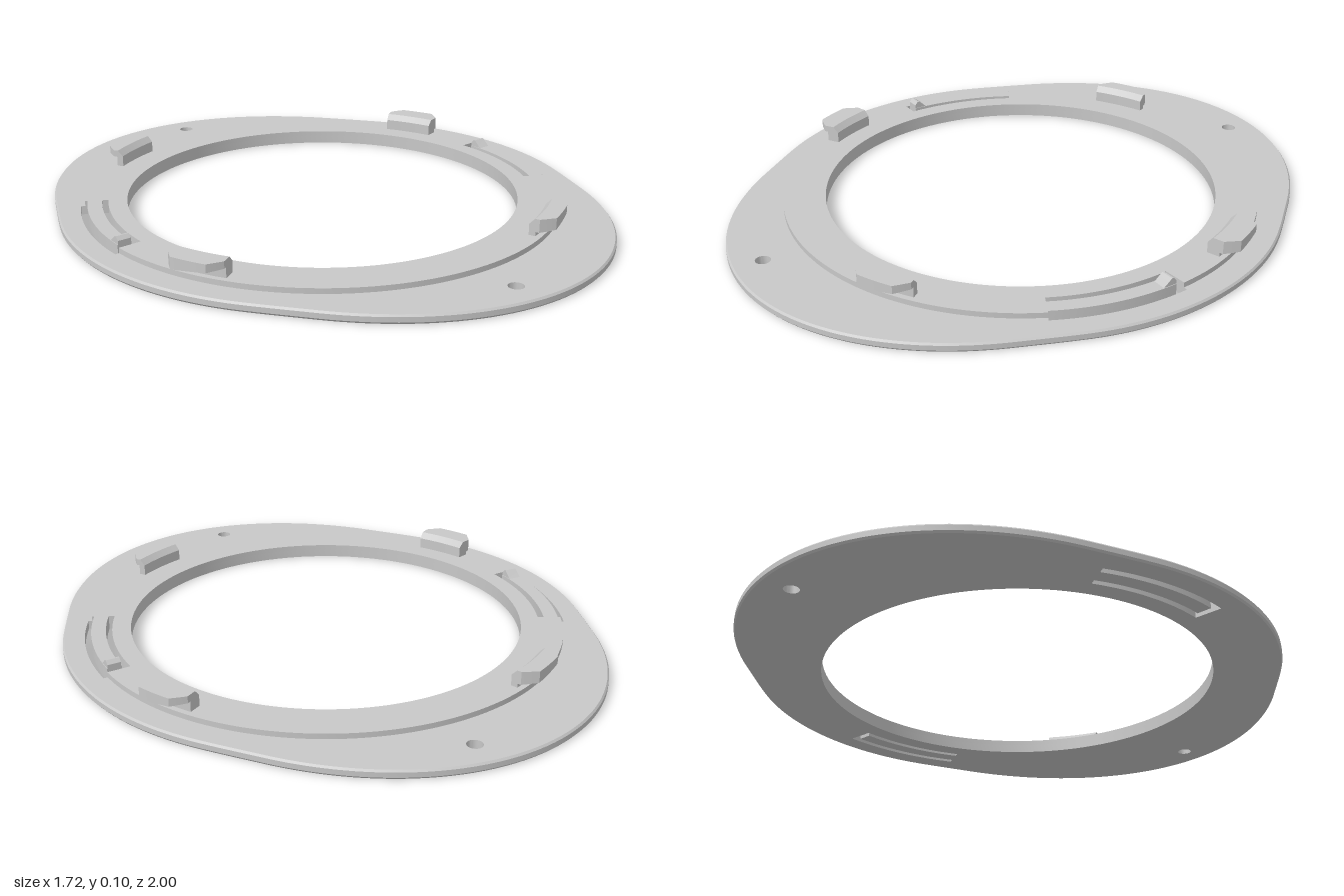
import * as THREE from 'three';
import { toCreasedNormals } from 'three/addons/utils/BufferGeometryUtils.js';

const rad = THREE.MathUtils.degToRad;
const BASE = 0.028, RING = 0.045, BORE = 0.64, RING_R = 0.775, INSET = 0.02;

// Plan point at radius r and angle a (angle runs from +x towards +z)
const polar = (r, a) => new THREE.Vector2(r * Math.cos(a), -r * Math.sin(a));

function arc(r, a0, a1, n = 24) {
  const radius = typeof r === 'function' ? r : () => r;
  return Array.from({ length: n + 1 }, (_, i) => {
    const a = a0 + (a1 - a0) * i / n;
    return polar(radius(a), a);
  });
}
const circle = (r, n = 128) => arc(r, 0, Math.PI * 2, n).slice(0, -1);

// Flange outline: a circle at the sides blended with a long ellipse at the ends
function outline(a) {
  const k = 0.02, side = 0.858;
  const end = 1 / Math.hypot(Math.cos(a) / 0.803, Math.sin(a));
  const h = Math.max(k - Math.abs(side - end), 0) / k;
  return Math.max(side, end) + h * h * k / 4;
}

// Upright plate from a clockwise plan outline
function plate(points, holes, y0, y1) {
  const shape = new THREE.Shape(points.reverse());
  shape.holes = holes.map(h => new THREE.Path(h));
  const g = new THREE.ExtrudeGeometry(shape, { depth: y1 - y0, bevelEnabled: false });
  g.rotateX(-Math.PI / 2).translate(0, y0, 0);
  return toCreasedNormals(g, 0.5);
}

// Sweep a counterclockwise (radius, height) section around the axis
function sweep(section, a0, a1, n, capped) {
  const rows = [], out = [];
  for (let i = 0; i <= n; i++) {
    const a = a0 + (a1 - a0) * i / n;
    rows.push(section(i / n, a).map(([r, y]) => [r * Math.cos(a), y, r * Math.sin(a)]));
  }
  const m = rows[0].length;
  for (let i = 0; i < n; i++) {
    for (let j = 0; j < m; j++) {
      const k = (j + 1) % m, p = rows[i], q = rows[i + 1];
      out.push(...p[j], ...p[k], ...q[k], ...p[j], ...q[k], ...q[j]);
    }
  }
  if (capped) {
    for (let j = 1; j < m - 1; j++) {
      const s = rows[0], e = rows[n];
      out.push(...s[0], ...s[j + 1], ...s[j], ...e[0], ...e[j], ...e[j + 1]);
    }
  }
  const g = new THREE.BufferGeometry();
  g.setAttribute('position', new THREE.Float32BufferAttribute(out, 3));
  return toCreasedNormals(g, 0.4);
}

export function createModel() {
  const group = new THREE.Group();
  const grey = new THREE.MeshStandardMaterial({ color: 0xc8c8c8 });
  grey.name = 'grey';
  const add = (name, geometry) => {
    const mesh = new THREE.Mesh(geometry, grey);
    mesh.name = name;
    group.add(mesh);
  };

  // U-shaped slots that free the two spring arms
  const slots = [[4.4, 35.8], [186.4, 217.8]].map(s => s.map(rad));
  const gap = rad(1.6);
  const innerCut = ([a, b]) => [
    ...arc(0.7, a, b), ...arc(0.72, b, a + gap), ...arc(0.767, a + gap, b)];
  const slotHole = s => [...innerCut(s), ...arc(0.788, s[1], s[0])];

  // Flange with bore, slots and two screw holes
  const screwHoles = [1, -1].map(s =>
    circle(0.024, 24).map(p => p.add(new THREE.Vector2(0.155 * s, 0.884 * s))));
  const deckEdge = circle(a => outline(a) - INSET, 192);
  add('flange', plate(deckEdge, [circle(BORE), ...slots.map(slotHole), ...screwHoles], 0, BASE));

  // Softened outer rim
  add('flangeRim', sweep((t, a) => {
    const r = outline(a);
    return [[r - INSET, BASE], [r - INSET, 0], [r - 0.005, 0], [r, 0.006],
      [r, BASE - 0.006], [r - 0.005, BASE]];
  }, 0, Math.PI * 2, 192, false));

  // Raised ring, notched around the spring arms
  const [s0, s1] = slots;
  const ringEdge = [
    ...innerCut(s0), ...arc(RING_R, s0[1], s1[0], 64),
    ...innerCut(s1), ...arc(RING_R, s1[1], s0[0] + Math.PI * 2, 64)];
  add('raisedRing', plate(ringEdge, [circle(BORE)], BASE, RING));

  // Locking lugs: an upright wall with an overhanging, ramped hook
  const lugs = [[-23.3, -9.5, 0.715], [64.6, 79, 0.735], [156.7, 170.5, 0.715], [244.6, 259, 0.735]];
  for (const [a0, a1, inner] of lugs) {
    add('lockingLug', sweep(t => {
      const outer = 0.768 + 0.038 * Math.min(1, t / 0.2, (1 - t) / 0.2);
      const under = 0.078 - 0.02 * t;
      return [[inner + 0.018, 0.1], [inner, 0.081], [inner, 0.035], [0.757, 0.035],
        [0.757, under], [outer, under], [outer, 0.1]];
    }, rad(a0), rad(a1), 20, true));
  }

  // Small catch on the free end of each spring arm
  for (const [a] of slots) {
    add('armCatch', sweep(t => {
      const top = RING + 0.023 * Math.min(1, 0.5 + t * 2, (1 - t) * 1.6);
      return [[0.722, top], [0.722, 0.03], [0.765, 0.03], [0.765, top]];
    }, a + gap, a + rad(5), 8, true));
  }
  return group;
}
